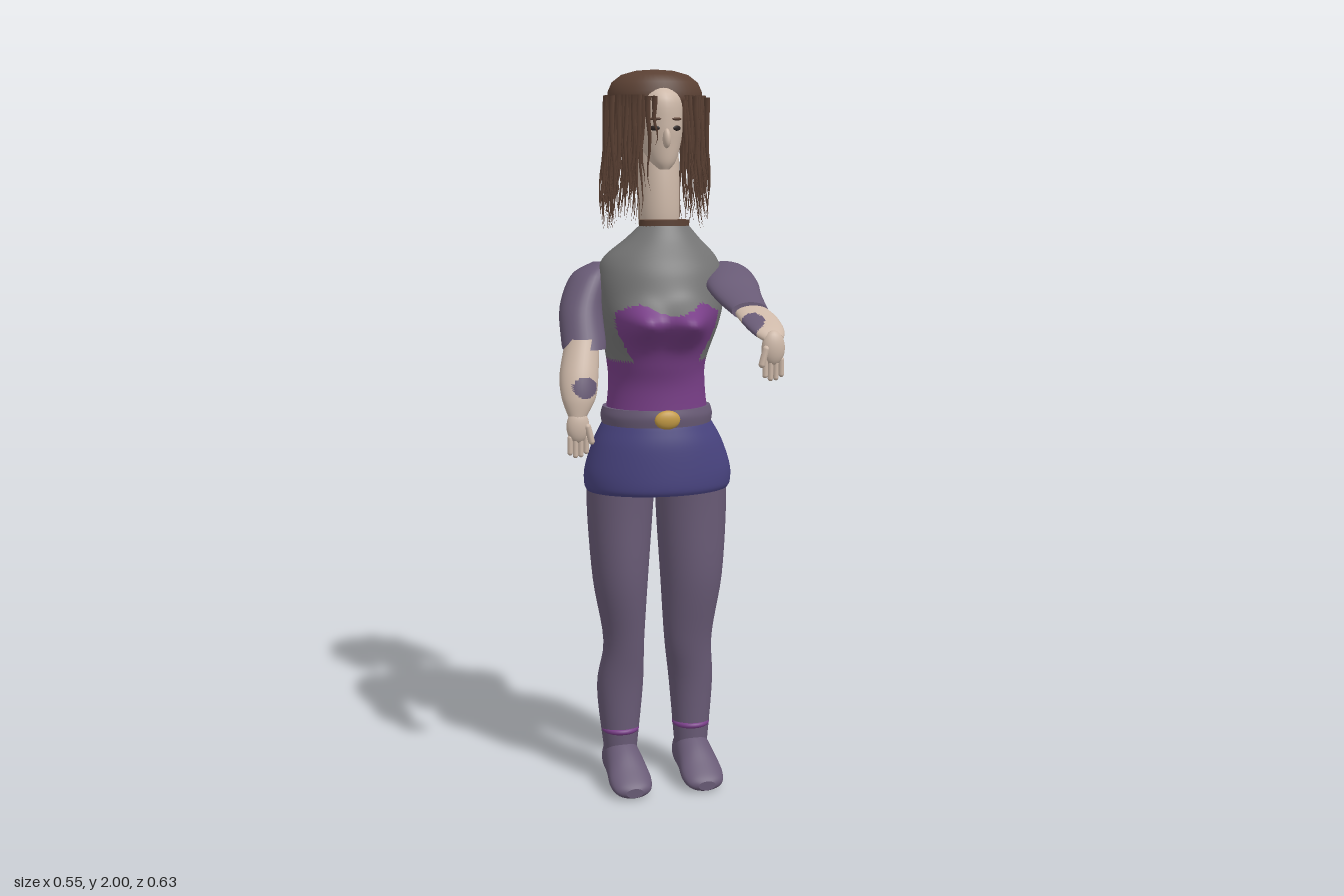
import * as THREE from 'three';
import { mergeGeometries } from 'three/addons/utils/BufferGeometryUtils.js';

const X = new THREE.Vector3(1, 0, 0), Y = new THREE.Vector3(0, 1, 0), Z = new THREE.Vector3(0, 0, 1);

const paint = (name, color) => {
  const m = new THREE.MeshStandardMaterial({ color });
  m.name = name;
  return m;
};

// smooth value between rows b and c
const spline = (a, b, c, d, t) =>
  0.5 * (2 * b + (c - a) * t + (2 * a - 5 * b + 4 * c - d) * t * t + (3 * b - a - 3 * c + d) * t * t * t);

// Closed loft through ellipses: rows are [x, y, z, radius along u, radius along v]
function loft(rows, { u = X, v = Z, n = 32, steps = 5, warp, zone } = {}) {
  const rings = [];
  for (let i = 0; i < rows.length - 1; i++) {
    for (let s = 0; s < steps; s++) {
      const r = [rows[Math.max(i - 1, 0)], rows[i], rows[i + 1], rows[Math.min(i + 2, rows.length - 1)]];
      rings.push(rows[0].map((_, k) => spline(r[0][k], r[1][k], r[2][k], r[3][k], s / steps)));
    }
  }
  rings.push(rows[rows.length - 1]);
  const first = rings[0], last = rings[rings.length - 1];
  const travel = new THREE.Vector3(last[0] - first[0], last[1] - first[1], last[2] - first[2]);
  const forward = new THREE.Vector3().crossVectors(u, v).dot(travel) > 0;
  const pts = [];
  const addRing = ([x, y, z, a, b]) => {
    for (let j = 0; j < n; j++) {
      const t = (j / n) * Math.PI * 2;
      const p = new THREE.Vector3(x, y, z).addScaledVector(u, a * Math.cos(t)).addScaledVector(v, b * Math.sin(t));
      if (warp) warp(p);
      pts.push(p);
    }
  };
  rings.forEach(addRing);
  const lists = [[], []];
  const tri = (a, b, c) => {
    const m = pts[a].clone().add(pts[b]).add(pts[c]).divideScalar(3);
    lists[zone && zone(m) ? 1 : 0].push(...(forward ? [a, b, c] : [a, c, b]));
  };
  for (let i = 0; i < rings.length - 1; i++) {
    for (let j = 0; j < n; j++) {
      const a = i * n + j, b = i * n + (j + 1) % n;
      tri(a, b, b + n);
      tri(a, b + n, a + n);
    }
  }
  // end caps with their own rims
  for (const [ring, start] of [[first, true], [last, false]]) {
    const base = pts.length;
    addRing(ring);
    pts.push(new THREE.Vector3(ring[0], ring[1], ring[2]));
    for (let j = 0; j < n; j++) {
      const a = base + j, b = base + (j + 1) % n;
      if (start) tri(base + n, b, a); else tri(base + n, a, b);
    }
  }
  const g = new THREE.BufferGeometry().setFromPoints(pts);
  g.setIndex([...lists[0], ...lists[1]]);
  g.addGroup(0, lists[0].length, 0);
  g.addGroup(lists[0].length, lists[1].length, 1);
  g.computeVertexNormals();
  return g;
}

export function createModel() {
  const model = new THREE.Group();
  const skin = paint('skin', 0xcdb8a8), hair = paint('brown hair', 0x5a4033), grey = paint('grey vest', 0x757575);
  const purple = paint('purple bodice', 0x793f88), mauve = paint('mauve cloth', 0x685a75), navy = paint('indigo skirt', 0x48437f);
  const gold = paint('gold', 0xc39a45), dark = paint('dark eye', 0x2a2220), lip = paint('lips', 0x9a7468);
  const add = (name, geometry, material, parent = model) => {
    const m = new THREE.Mesh(geometry, material);
    m.name = name;
    parent.add(m);
    return m;
  };
  const blob = (name, material, p, s, parent) => {
    const m = add(name, new THREE.SphereGeometry(1, 20, 14), material, parent);
    m.position.set(...p);
    m.scale.set(...s);
    return m;
  };

  // torso: grey vest over a purple bodice with a heart neckline and a back patch
  const torso = [
    [0.025, 1.05, -0.108, 0.145, 0.12], [0.025, 1.15, -0.107, 0.134, 0.121], [0.022, 1.22, -0.1, 0.137, 0.132],
    [0.028, 1.32, -0.09, 0.163, 0.15], [0.03, 1.38, -0.09, 0.174, 0.15], [0.03, 1.45, -0.093, 0.173, 0.137],
    [0.03, 1.5, -0.09, 0.155, 0.113], [0.033, 1.55, -0.075, 0.102, 0.078], [0.035, 1.585, -0.066, 0.068, 0.05],
  ];
  const bell = (d, w) => Math.exp(-((d / w) ** 2));
  const bust = (p) => {
    if (p.z > -0.06) p.z += bell(p.y - 1.33, 0.045) * (0.068 * bell(p.x + 0.06, 0.05) + 0.085 * bell(p.x - 0.06, 0.055));
  };
  const isBodice = ({ x, y, z }) => {
    if (y < 1.225) return true;
    const d = Math.abs(x - 0.02);
    const neckline = 1.355 + 0.028 * bell(d - 0.085, 0.045);
    const back = z < -0.12 && Math.abs(y - 1.315 - 0.15 * (x - 0.03)) < 0.045 - 0.18 * Math.max(0, -0.12 - x + 0.06);
    return (z > 0.0 && y < neckline) || back;
  };
  add('torso', loft(torso, { n: 96, steps: 9, warp: bust, zone: isBodice }), [grey, purple]);
  add('collar', loft([[0.035, 1.572, -0.066, 0.07, 0.05], [0.035, 1.6, -0.066, 0.068, 0.05]]), hair);
  const chain = [-0.04, 0, 0.04, 0.08, 0.11].map((x) =>
    new THREE.Vector3(x, 1.475 + 1.5 * (x - 0.035) ** 2, -0.092 - 0.132 * Math.sqrt(1 - ((x - 0.03) / 0.168) ** 2)));
  add('backChain', new THREE.TubeGeometry(new THREE.CatmullRomCurve3(chain), 24, 0.004, 6), gold);

  // belt and skirt
  add('belt', loft([[0.025, 1.045, -0.108, 0.153, 0.126], [0.025, 1.07, -0.108, 0.156, 0.129], [0.025, 1.092, -0.108, 0.15, 0.125]], { n: 48 }), mauve);
  blob('buckle', gold, [0.02, 1.068, 0.022], [0.036, 0.026, 0.014]);
  add('skirt', loft([
    [0.03, 0.858, -0.115, 0.2, 0.143], [0.03, 0.875, -0.115, 0.207, 0.15], [0.03, 0.92, -0.115, 0.206, 0.15],
    [0.028, 0.99, -0.11, 0.183, 0.14], [0.026, 1.035, -0.108, 0.16, 0.128], [0.025, 1.055, -0.108, 0.148, 0.122],
  ], { n: 48 }), navy);

  // legs, ankle bands and boots
  const legs = {
    right: [[-0.075, 0.09, 0.046], [-0.073, 0.28, 0.066], [-0.067, 0.42, 0.058], [-0.077, 0.6, 0.077], [-0.075, 0.8, 0.092], [-0.07, 0.92, 0.095]],
    left: [[0.135, 0.09, 0.047], [0.137, 0.28, 0.063], [0.122, 0.42, 0.069], [0.13, 0.6, 0.088], [0.132, 0.8, 0.1], [0.13, 0.92, 0.098]],
  };
  const depth = [[-0.135, 0.046], [-0.145, 0.06], [-0.122, 0.056], [-0.12, 0.085], [-0.13, 0.097], [-0.13, 0.1]];
  for (const [side, rows] of Object.entries(legs)) {
    const leg = new THREE.Group();
    leg.name = side + 'Leg';
    model.add(leg);
    add('stocking', loft(rows.map(([x, y, r], i) => [x, y, depth[i][0], r, depth[i][1]]), { n: 36 }), mauve, leg);
    const x = rows[0][0];
    const band = add('ankleBand', new THREE.TorusGeometry(0.046, 0.008, 10, 36), purple, leg);
    band.rotation.x = Math.PI / 2;
    band.position.set(x, 0.157, -0.136);
    add('boot', loft([
      [x, 0.06, -0.184, 0.028, 0.052], [x, 0.066, -0.17, 0.046, 0.063], [x, 0.068, -0.12, 0.052, 0.066], [x, 0.056, -0.07, 0.056, 0.054],
      [x, 0.037, -0.02, 0.06, 0.036], [x, 0.024, 0.015, 0.05, 0.023], [x, 0.02, 0.03, 0.025, 0.013],
    ], { v: Y, warp: (p) => { p.y = Math.max(0, p.y); } }), mauve, leg);
  }

  // hand hanging down from the wrist
  const hand = (name, x, y, z, inward) => {
    const g = new THREE.Group();
    g.name = name;
    g.position.set(x, y, z);
    model.add(g);
    blob('palm', skin, [0, -0.03, 0], [0.031, 0.045, 0.019], g);
    for (let i = 0; i < 4; i++) {
      const len = 0.05 - 0.008 * Math.abs(i - 1.4);
      const f = add('finger', new THREE.CapsuleGeometry(0.0075, len, 4, 8), skin, g);
      f.position.set((i - 1.5) * 0.0145, -0.06 - len / 2, 0.002);
    }
    const thumb = add('thumb', new THREE.CapsuleGeometry(0.009, 0.04, 4, 8), skin, g);
    thumb.position.set(inward * 0.029, -0.05, 0.012);
    thumb.rotation.z = inward * 0.25;
  };

  // right arm, lowered
  add('rightSleeve', loft([
    [-0.195, 1.262, -0.035, 0.058, 0.052], [-0.195, 1.285, -0.045, 0.06, 0.052], [-0.19, 1.37, -0.09, 0.058, 0.06],
    [-0.155, 1.45, -0.13, 0.052, 0.062], [-0.125, 1.485, -0.135, 0.022, 0.03],
  ]), mauve);
  add('rightForearm', loft([
    [-0.232, 1.09, 0.038, 0.024, 0.019], [-0.225, 1.14, 0.025, 0.046, 0.033], [-0.218, 1.2, 0.0, 0.052, 0.044], [-0.2, 1.29, -0.035, 0.045, 0.042],
  ], { steps: 12, zone: (p) => p.z > 0.015 && ((p.x + 0.212) / 0.034) ** 2 + ((p.y - 1.167) / 0.027) ** 2 < 1 }), [skin, mauve]);
  hand('rightHand', -0.232, 1.095, 0.042, 1);

  // left arm, stretched forward
  add('leftSleeve', loft([
    [0.2, 1.46, -0.13, 0.035, 0.018], [0.215, 1.452, -0.08, 0.062, 0.032], [0.2, 1.43, 0.02, 0.073, 0.032],
    [0.195, 1.4, 0.1, 0.063, 0.027], [0.195, 1.373, 0.188, 0.05, 0.023],
  ], { v: Y }), mauve);
  add('leftForearm', loft([
    [0.197, 1.378, 0.16, 0.042, 0.019], [0.207, 1.355, 0.22, 0.05, 0.02], [0.214, 1.33, 0.275, 0.044, 0.018], [0.22, 1.312, 0.305, 0.026, 0.014],
  ], { v: Y, steps: 12, zone: (p) => ((p.x - 0.178) / 0.032) ** 2 + ((p.z - 0.255) / 0.032) ** 2 < 1 }), [skin, mauve]);
  hand('leftHand', 0.22, 1.318, 0.3, -1);

  // neck and head
  add('neck', loft([[0.037, 1.535, -0.13, 0.045, 0.05], [0.036, 1.6, -0.122, 0.056, 0.058], [0.036, 1.7, -0.122, 0.056, 0.057], [0.037, 1.82, -0.135, 0.055, 0.055]]), skin);
  add('head', loft([
    [0.037, 1.733, -0.085, 0.018, 0.022], [0.037, 1.755, -0.1, 0.038, 0.046], [0.037, 1.8, -0.125, 0.057, 0.076],
    [0.037, 1.85, -0.135, 0.065, 0.09], [0.037, 1.92, -0.145, 0.067, 0.095], [0.037, 1.96, -0.15, 0.045, 0.06],
  ]), skin);
  blob('nose', skin, [0.037, 1.815, -0.047], [0.011, 0.026, 0.015]);
  blob('mouth', lip, [0.037, 1.777, -0.059], [0.02, 0.007, 0.006]);
  for (const s of [-1, 1]) {
    const eye = blob('eye', dark, [0.037 + s * 0.03, 1.842, -0.056], [0.014, 0.007, 0.004]);
    eye.rotation.y = s * 0.45;
    const brow = blob('eyebrow', hair, [0.037 + s * 0.03, 1.866, -0.053], [0.017, 0.004, 0.004]);
    brow.rotation.y = s * 0.45;
  }

  // hair cap
  const profile = [[0, 1.905], [0.96, 1.905], [1, 1.918], [0.985, 1.94], [0.9, 1.965], [0.7, 1.985], [0.4, 1.996], [0, 2]];
  const cap = add('hairCap', new THREE.LatheGeometry(profile.map((p) => new THREE.Vector2(...p)), 48), hair);
  cap.scale.set(0.132, 1, 0.106);
  cap.position.set(0.04, 0, -0.176);

  // wavy hanging strands around the rim, open at the face
  let seed = 7;
  const rand = () => (seed = (seed * 16807) % 2147483647) / 2147483647;
  const strands = [];
  const strand = (x, z, dx, dz, top, len, r) => {
    const g = new THREE.ConeGeometry(r, len, 5, 7);
    g.rotateX(Math.PI);
    g.translate(0, -len / 2, 0);
    const p = g.attributes.position, phase = rand() * 6;
    for (let i = 0; i < p.count; i++) {
      const t = -p.getY(i) / len, w = 0.006 * t;
      p.setXYZ(i, x + p.getX(i) + dx * t + w * Math.sin(9 * t + phase), top + p.getY(i), z + p.getZ(i) + dz * t + w * Math.cos(8 * t + phase));
    }
    g.computeVertexNormals();
    strands.push(g);
  };
  for (let i = 0; i < 190; i++) {
    const a = (i / 190) * Math.PI * 2, c = Math.cos(a), s = Math.sin(a);
    if (s > 0 && Math.abs(c) < 0.46) continue;
    const k = 0.9 + 0.12 * rand(), flare = 0.025 * rand();
    strand(0.04 + 0.132 * k * c, -0.176 + 0.108 * k * s, flare * c, flare * s, 1.93, 0.27 + 0.1 * rand() - 0.04 * Math.max(0, s), 0.009);
  }
  for (const [x, z, len] of [[0.0, -0.036, 0.13], [-0.015, -0.045, 0.25], [0.115, -0.042, 0.26], [0.122, -0.05, 0.3], [0.172, -0.12, 0.33], [-0.1, -0.1, 0.33]]) {
    strand(x, z, 0.005, 0, 1.925, len, 0.009);
  }
  add('hairStrands', mergeGeometries(strands), hair);

  return model;
}
